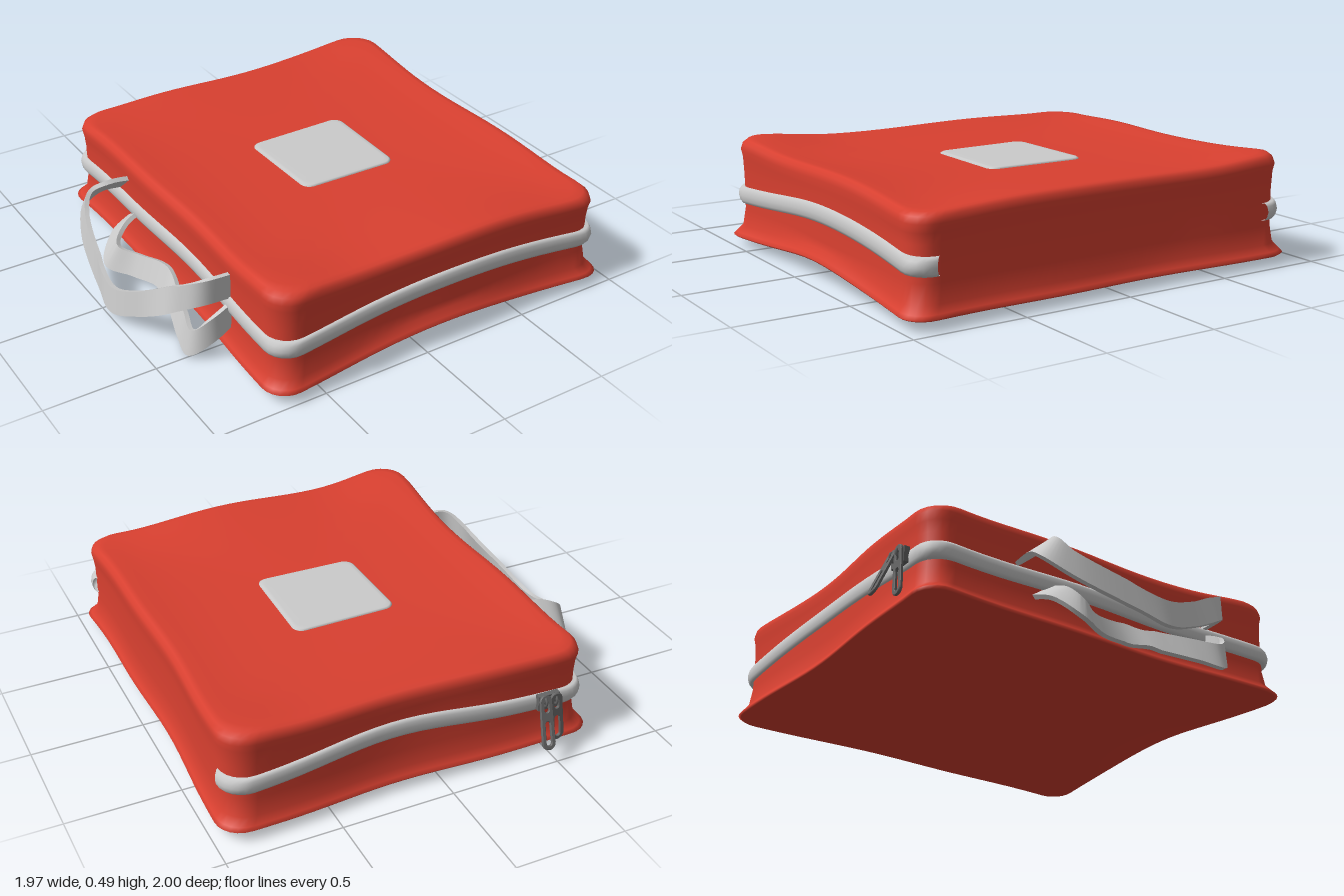
import * as THREE from 'three';
import { toCreasedNormals } from 'three/addons/utils/BufferGeometryUtils.js';

const red = new THREE.MeshStandardMaterial({ color: 0xd94030 });
const grey = new THREE.MeshStandardMaterial({ color: 0xcccccc, side: THREE.DoubleSide });
const dark = new THREE.MeshStandardMaterial({ color: 0x666666, side: THREE.DoubleSide });

const CX = 0.12, CZ = 0.035, HX = 0.83, HZ = 0.935;
const ARC = 7, SIDE = 20;
const bump = (v, c, w) => Math.exp(-(((v - c) / w) ** 2));
const spot = (x, z, cx, cz, w) => bump(x, cx, w) * bump(z, cz, w);

// Surface through rows of points; each row runs around, rows stack outward-facing
function loft(rows, closed = true) {
  const n = rows[0].length, pos = [], idx = [];
  rows.forEach(r => r.forEach(p => pos.push(p.x, p.y, p.z)));
  for (let i = 0; i < rows.length - 1; i++) {
    for (let j = 0; j < (closed ? n : n - 1); j++) {
      const k = (j + 1) % n, a = i * n + j, b = i * n + k, c = a + n, d = b + n;
      idx.push(a, c, b, b, c, d);
    }
  }
  const g = new THREE.BufferGeometry();
  g.setAttribute('position', new THREE.Float32BufferAttribute(pos, 3));
  g.setIndex(idx);
  g.computeVertexNormals();
  return g;
}

// Rounded rectangle in the xz plane, starting at the front end of the +x side
function roundedRect(hx, hz, r) {
  const pts = [], signs = [[1, 1], [-1, 1], [-1, -1], [1, -1]];
  signs.forEach(([sx, sz], q) => {
    for (let i = 0; i < ARC; i++) {
      const a = (q + i / (ARC - 1)) * Math.PI / 2;
      pts.push(new THREE.Vector3(sx * (hx - r) + r * Math.cos(a), 0, sz * (hz - r) + r * Math.sin(a)));
    }
    const from = pts[pts.length - 1], a = (q + 1) * Math.PI / 2, [nx, nz] = signs[(q + 1) % 4];
    const to = new THREE.Vector3(nx * (hx - r) + r * Math.cos(a), 0, nz * (hz - r) + r * Math.sin(a));
    for (let i = 1; i <= SIDE; i++) pts.push(from.clone().lerp(to, i / (SIDE + 1)));
  });
  return pts;
}

// One horizontal outline of the bag, with its sides pulled in at the middle
function outline(inset, r, pinch, scale, yOf) {
  return roundedRect(HX - inset, HZ - inset, r).map(p => {
    const u = p.x / HX, v = p.z / HZ;
    const x = CX + scale * p.x * (1 - pinch * (1 - v * v)) + 0.006 * Math.sin(p.z * 7) * scale;
    const z = CZ + scale * p.z * (1 - pinch * (1 - u * u)) + 0.008 * Math.sin(p.x * 7 + 1) * scale;
    return new THREE.Vector3(x, yOf(x, z), z);
  });
}

// Lid: sunken middle, raised rim, corners lifted or drooping
function topY(x, z) {
  const u = (x - CX) / HX, v = (z - CZ) / HZ;
  const rim = 1 - (1 - u ** 4) * (1 - v ** 4);
  return 0.443 + 0.04 * rim + 0.01 * u * v * 0.5
    + 0.03 * spot(x, z, -0.62, 0.85, 0.22) + 0.022 * spot(x, z, 0.88, -0.8, 0.22)
    - 0.028 * spot(x, z, 0.85, 0.88, 0.3) - 0.018 * spot(x, z, -0.6, -0.8, 0.3)
    + 0.014 * spot(x, z, 0.25, 0.95, 0.35);
}
const frontArch = (x, z) => 0.05 * bump(x, 0.15, 0.4) * THREE.MathUtils.smoothstep(z, 0.6, 0.93);
const zipY = (x, z) => 0.24 + 0.06 * bump(x, 0.2, 0.5) + 0.015 * bump(z, 0, 0.4);

function bodyGeometry() {
  const low = h => (x, z) => h + frontArch(x, z);
  const flat = h => () => h;
  const top = d => (x, z) => topY(x, z) - d;
  // inset, corner radius, pinch, scale, height
  return loft([
    [0, 0.12, 0, 0, flat(0.05)],
    [0, 0.12, 0, 0.4, flat(0.05)],
    [0, 0.12, 0, 0.75, flat(0.05)],
    [0, 0.12, 0.02, 0.94, low(0.05)],
    [-0.015, 0.12, 0.03, 1, low(0.048)],
    [-0.024, 0.12, 0.034, 1, low(0.056)],
    [-0.013, 0.12, 0.034, 1, low(0.07)],
    [0.008, 0.12, 0.03, 1, low(0.1)],
    [0.018, 0.12, 0.028, 1, flat(0.18)],
    [0.018, 0.12, 0.028, 1, flat(0.33)],
    [0.012, 0.13, 0.03, 1, top(0.085)],
    [0.006, 0.13, 0.032, 1, top(0.05)],
    [0.01, 0.14, 0.033, 1, top(0.022)],
    [0.026, 0.14, 0.033, 1, top(0.005)],
    [0.055, 0.14, 0.03, 1, top(0)],
    [0.11, 0.14, 0.03, 1, top(0)],
    [0.11, 0.14, 0.02, 0.9, top(0)],
    [0.11, 0.14, 0.02, 0.78, top(0)],
    [0.11, 0.14, 0, 0.55, top(0)],
    [0.11, 0.14, 0, 0.28, top(0)],
    [0.11, 0.14, 0, 0, top(0)],
  ].map(a => outline(...a)));
}

// Raised band following the front, left and back walls
function zipperGeometry() {
  const profile = [[0.04, -0.036], [0.01, -0.038], [0.002, -0.024], [-0.002, 0], [0.002, 0.024], [0.01, 0.038], [0.04, 0.036]];
  return loft(profile.map(([inset, dy]) =>
    outline(inset, 0.115, 0.028, 1, (x, z) => zipY(x, z) + dy).slice(0, 4 * ARC + 3 * SIDE)), false);
}

// Soft square patch draped over the lid
function patchGeometry() {
  const rows = [[1, -0.01], [1, 0.002], [0.97, 0.007], [0.9, 0.008], [0.6, 0.008], [0.3, 0.008], [0, 0.008]];
  return loft(rows.map(([s, dy]) => roundedRect(0.235, 0.232, 0.045).map(p => {
    const x = 0.12 + s * p.x * (1 - 0.08 * p.z), z = 0.007 + s * p.z * (1 + 0.08 * p.x);
    return new THREE.Vector3(x, topY(x, z) + dy, z);
  })));
}

// Flat strap: each stop gives a centre and a half-width vector
function strapGeometry(stops) {
  const path = new THREE.CatmullRomCurve3(stops.map(s => new THREE.Vector3(...s[0])));
  const width = new THREE.CatmullRomCurve3(stops.map(s => new THREE.Vector3(...s[1])));
  const rows = [];
  for (let i = 0; i <= 64; i++) {
    const c = path.getPoint(i / 64), w = width.getPoint(i / 64);
    const n = path.getTangent(i / 64).cross(w).setLength(0.01);
    rows.push([[-1, 1], [1, 1], [1, -1], [-1, -1]].map(([a, b]) => c.clone().addScaledVector(w, a).addScaledVector(n, b)));
  }
  return toCreasedNormals(loft(rows), 0.8);
}

// Elongated ring tab with an eye at the top and a slot below
function pullGeometry() {
  const capsule = (Kind, r, y0, y1) => {
    const s = new Kind();
    s.absarc(0, y1, r, 0, Math.PI, false);
    s.absarc(0, y0, r * 1.1, Math.PI, Math.PI * 2, false);
    s.closePath();
    return s;
  };
  const shape = capsule(THREE.Shape, 0.026, -0.18, -0.005);
  shape.holes.push(capsule(THREE.Path, 0.014, -0.18, -0.1), capsule(THREE.Path, 0.012, -0.04, -0.015));
  return new THREE.ExtrudeGeometry(shape, { depth: 0.008, bevelEnabled: true, bevelSize: 0.003, bevelThickness: 0.003, bevelSegments: 1, curveSegments: 8 });
}

export function createModel() {
  const model = new THREE.Group();
  const add = (name, geo, mat, parent = model) => {
    const m = new THREE.Mesh(geo, mat);
    m.name = name;
    parent.add(m);
    return m;
  };

  add('bagBody', bodyGeometry(), red);
  add('zipperBand', zipperGeometry(), grey);
  add('topPatch', patchGeometry(), grey);

  // Carry straps on the right-hand side
  add('upperStrap', strapGeometry([
    [[-0.64, 0.335, -0.4], [0, 0.045, 0.055]],
    [[-0.77, 0.34, -0.41], [0, 0.045, 0.05]],
    [[-0.85, 0.3, -0.42], [0, 0.055, 0.04]],
    [[-0.905, 0.225, -0.34], [0.008, 0.06, 0.012]],
    [[-0.96, 0.14, -0.1], [0.008, 0.06, 0]],
    [[-0.983, 0.095, 0.07], [0.008, 0.06, 0]],
    [[-0.945, 0.155, 0.24], [0.008, 0.06, 0]],
    [[-0.86, 0.275, 0.45], [0.008, 0.06, 0]],
    [[-0.79, 0.335, 0.545], [0.004, 0.06, 0.004]],
    [[-0.64, 0.335, 0.555], [0, 0.06, 0.005]],
  ]), grey);
  add('lowerStrap', strapGeometry([
    [[-0.64, 0.215, -0.33], [0, 0.035, 0.05]],
    [[-0.76, 0.17, -0.3], [0.01, 0.04, 0.045]],
    [[-0.83, 0.09, -0.24], [0.025, 0.055, 0.02]],
    [[-0.77, 0.08, -0.12], [0.02, 0.05, 0]],
    [[-0.725, 0.1, 0.04], [0.02, 0.052, 0]],
    [[-0.755, 0.095, 0.2], [0.02, 0.052, 0]],
    [[-0.81, 0.08, 0.38], [0.018, 0.056, 0]],
    [[-0.835, 0.075, 0.5], [0.01, 0.06, 0]],
    [[-0.77, 0.15, 0.56], [0, 0.06, 0]],
    [[-0.64, 0.21, 0.55], [0, 0.055, 0]],
  ]), grey);

  // Zipper sliders with hanging pull tabs on the back
  const sliders = new THREE.Group();
  sliders.name = 'zipperSliders';
  [[-0.52, 0.05], [-0.47, 0.4]].forEach(([x, tilt], i) => {
    add('slider' + (i + 1), new THREE.BoxGeometry(0.05, 0.07, 0.025), dark, sliders).position.set(x, 0.26, -0.895);
    const loop = add('sliderLoop' + (i + 1), new THREE.TorusGeometry(0.022, 0.006, 6, 14), dark, sliders);
    loop.position.set(x, 0.27, -0.908);
    loop.rotation.y = Math.PI / 2;
    const pull = add('pullTab' + (i + 1), pullGeometry(), dark, sliders);
    pull.position.set(x, 0.28, -0.922);
    pull.rotation.set(tilt, 0, i ? 0.08 : -0.08);
  });
  model.add(sliders);
  return model;
}
